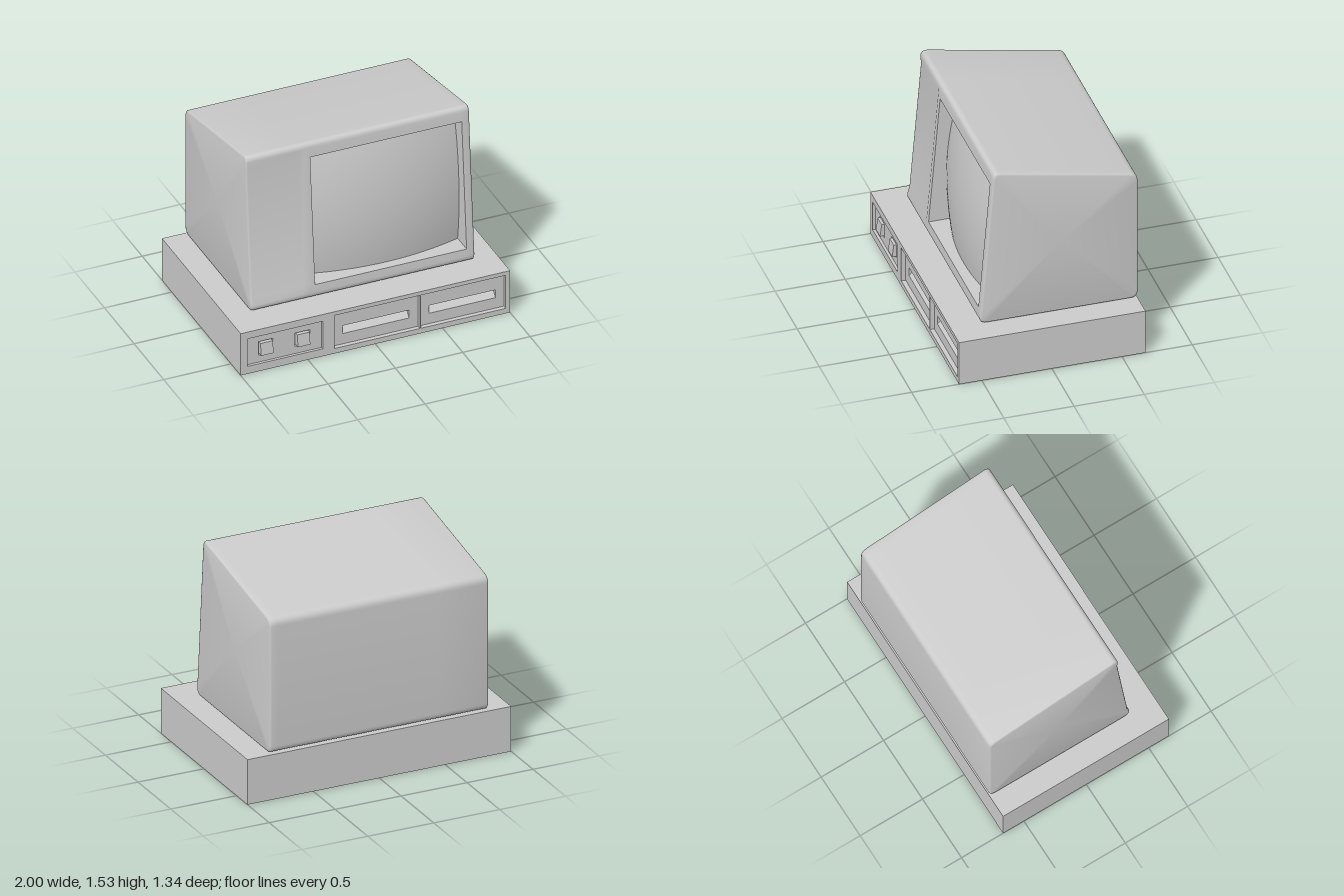
import * as THREE from 'three';
import { toCreasedNormals } from 'three/addons/utils/BufferGeometryUtils.js';

const material = new THREE.MeshStandardMaterial({ color: 0xcccccc });

function add(parent, name, geometry, x = 0, y = 0, z = 0) {
  const mesh = new THREE.Mesh(geometry, material);
  mesh.name = name;
  mesh.position.set(x, y, z);
  parent.add(mesh);
  return mesh;
}

// Box given by its limits
function block(parent, name, x0, x1, y0, y1, z0, z1) {
  return add(parent, name, new THREE.BoxGeometry(x1 - x0, y1 - y0, z1 - z0),
    (x0 + x1) / 2, (y0 + y1) / 2, (z0 + z1) / 2);
}

function rectangle(PathType, [x0, x1, y0, y1]) {
  return new PathType([[x0, y0], [x1, y0], [x1, y1], [x0, y1]].map(p => new THREE.Vector2(...p)));
}

// Upright plate with rectangular holes
function plate(parent, name, rect, holes, z0, z1) {
  const shape = rectangle(THREE.Shape, rect);
  shape.holes = holes.map(h => rectangle(THREE.Path, h));
  return add(parent, name, new THREE.ExtrudeGeometry(shape, { depth: z1 - z0, bevelEnabled: false }), 0, 0, z0);
}

// Front slope of the monitor
const frontZ = y => 0.46 - (y - 0.345) * 0.0842;
const opening = { x0: -0.355, x1: 0.77, y0: 0.445, y1: 1.42 };

// Points (z, y) rounding one corner of the side profile
function roundCorner(before, corner, after, radius) {
  const toward = target => corner.clone().add(target.clone().sub(corner).setLength(radius));
  return new THREE.QuadraticBezierCurve(toward(before), corner, toward(after)).getPoints(7);
}

// Side profile of the monitor; notch cuts the screen cavity, dip sinks the front
function sideProfile(inset, dip, notch) {
  const corners = [[-0.667, 1.333], [0.36, 1.533], [0.461, 0.343], [-0.667, 0.343]]
    .map(p => new THREE.Vector2(...p));
  const rounded = corners.map((c, i) =>
    roundCorner(corners[(i + 3) % 4], c, corners[(i + 1) % 4], i === 1 ? 0.045 : 0.05));
  const { y0, y1 } = opening;
  const front = [[y1, 0], [y1, notch], [y0, notch], [y0, 0]]
    .map(([y, depth]) => new THREE.Vector2(frontZ(y) - dip - depth, y));
  const points = [...rounded[0], ...rounded[1], ...front, ...rounded[2], ...rounded[3]];
  const centre = new THREE.Vector2(-0.12, 0.9);
  return points.map(p => p.clone().sub(centre).multiply(
    new THREE.Vector2(1 - inset / 0.54, 1 - inset / 0.56)).add(centre));
}

// Monitor shell: side profiles joined from right to left
function housingGeometry() {
  const e = 0.015, half = 0.83, stations = [];
  for (let i = 0; i <= 3; i++) {
    const a = i * Math.PI / 6;
    stations.push([-half + e * (1 - Math.cos(a)), e * (1 - Math.sin(a)), 0.01, 0]);
  }
  stations.push([-0.44, 0, 0.01, 0], [-0.4, 0, 0, 0]);
  stations.push([opening.x0, 0, 0, 0], [opening.x0, 0, 0, 0.2]);
  stations.push([opening.x1, 0, 0, 0.2], [opening.x1, 0, 0, 0]);
  for (let i = 3; i >= 0; i--) {
    const a = i * Math.PI / 6;
    stations.push([half - e * (1 - Math.cos(a)), e * (1 - Math.sin(a)), 0, 0]);
  }
  const positions = [], index = [];
  let n = 0;
  for (const [x, inset, dip, notch] of stations) {
    const ring = sideProfile(inset, dip, notch);
    n = ring.length;
    ring.forEach(p => positions.push(x, p.y, p.x));
  }
  const last = stations.length - 1;
  const capRight = n * stations.length, capLeft = capRight + 1;
  positions.push(-half, 0.9, -0.12, half, 0.9, -0.12);
  for (let j = 0; j < n; j++) {
    const k = (j + 1) % n;
    for (let i = 0; i < last; i++) {
      const a = i * n + j, b = i * n + k, c = b + n, d = a + n;
      index.push(a, b, d, b, c, d);
    }
    index.push(capRight, k, j, capLeft, last * n + j, last * n + k);
  }
  const geometry = new THREE.BufferGeometry();
  geometry.setAttribute('position', new THREE.Float32BufferAttribute(positions, 3));
  geometry.setIndex(index);
  return toCreasedNormals(geometry, 0.6);
}

// Bulging picture tube face
function screenGeometry() {
  const { x0, x1, y0, y1 } = opening;
  const w = x1 - x0, h = y1 - y0;
  const geometry = new THREE.PlaneGeometry(w, h, 28, 24);
  const p = geometry.attributes.position;
  for (let i = 0; i < p.count; i++) {
    const u = p.getX(i) / (w / 2), v = p.getY(i) / (h / 2);
    p.setZ(i, 0.4 - 0.03 * v - 0.05 * v * v - 0.08 * u * u);
  }
  geometry.translate((x0 + x1) / 2, (y0 + y1) / 2, 0);
  geometry.computeVertexNormals();
  return geometry;
}

export function createModel() {
  const model = new THREE.Group();
  model.name = 'desktopComputer';

  // Base unit with openings in its front
  const base = new THREE.Group();
  base.name = 'baseUnit';
  model.add(base);
  const zBack = 0.58, zFront = 0.662;
  const switchBay = [-0.95, -0.39, 0.06, 0.28];
  const driveBays = [[-0.305, 0.33, 0.04, 0.305], [0.34, 0.968, 0.04, 0.305]];
  block(base, 'baseBody', -1, 1, 0, 0.335, -0.667, zBack);
  plate(base, 'baseFront', [-1, 1, 0, 0.335], [switchBay, ...driveBays], zBack, zFront);

  // Switch panel and its two slanted push buttons
  const buttonXs = [-0.805, -0.532];
  plate(base, 'switchPanel', switchBay,
    buttonXs.map(x => [x - 0.054, x + 0.054, 0.116, 0.224]), zBack, 0.642);
  for (const x of buttonXs) {
    const button = block(base, 'pushButton', x - 0.046, x + 0.046, 0.124, 0.216, zBack, 0.67);
    const p = button.geometry.attributes.position;
    for (let i = 0; i < p.count; i++) {
      if (p.getZ(i) > 0 && p.getY(i) > 0) p.setZ(i, p.getZ(i) - 0.012);
    }
    button.geometry.computeVertexNormals();
  }

  // Disk drives with a sloped lip inside each slot
  for (const bay of driveBays) {
    const mid = (bay[0] + bay[1]) / 2 + 0.005;
    const slot = [mid - 0.247, mid + 0.247, 0.123, 0.186];
    plate(base, 'driveFace', bay, [slot], zBack, 0.63);
    const wedge = new THREE.Shape([[0, 0], [0.05, 0], [0.01, 0.042], [0, 0.042]]
      .map(p => new THREE.Vector2(...p)));
    const lip = new THREE.ExtrudeGeometry(wedge, { depth: slot[1] - slot[0], bevelEnabled: false });
    lip.rotateY(-Math.PI / 2);
    add(base, 'driveSlotLip', lip, slot[1], slot[2], zBack);
  }

  // Monitor resting on a low foot
  const monitor = new THREE.Group();
  monitor.name = 'monitor';
  model.add(monitor);
  block(monitor, 'monitorFoot', -0.76, 0.76, 0.33, 0.36, -0.58, 0.38);
  add(monitor, 'monitorHousing', housingGeometry());
  add(monitor, 'screen', screenGeometry());

  return model;
}
